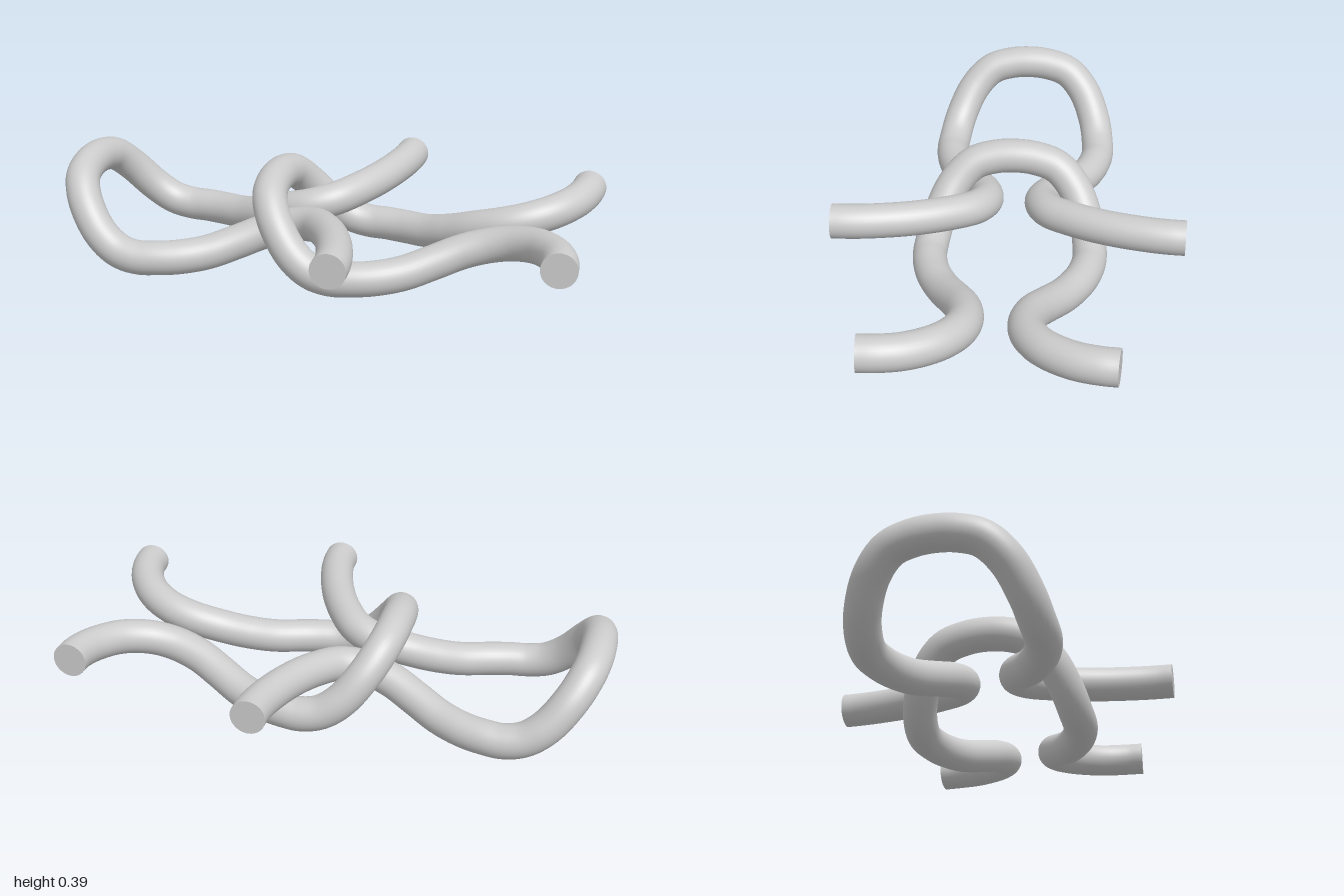
import * as THREE from 'three';

const RADIUS = 0.0645;
const PITCH = 0.745; // spacing between the two interlocked loops

// Half of a loop's centre line, from the middle of the raised head to the neck
const HEAD = [
  [-0.935, 0.333, 0], [-0.932, 0.326, 0.08], [-0.917, 0.302, 0.16], [-0.875, 0.236, 0.23],
  [-0.8, 0.142, 0.279], [-0.725, 0.088, 0.296], [-0.65, 0.07, 0.3], [-0.58, 0.071, 0.291],
  [-0.5, 0.074, 0.267], [-0.4, 0.086, 0.218], [-0.3, 0.118, 0.164], [-0.2, 0.156, 0.122], [-0.095, 0.187, 0.106],
];
// The flared leg after the neck: long on one loop, short on the other
const LONG_LEG = [[-0.01, 0.208, 0.14], [0.06, 0.224, 0.228], [0.125, 0.237, 0.36], [0.17, 0.247, 0.51], [0.183, 0.25, 0.59], [0.185, 0.25, 0.648]];
const SHORT_LEG = [[-0.005, 0.209, 0.123], [0.083, 0.228, 0.18], [0.15, 0.241, 0.275], [0.18, 0.249, 0.365], [0.186, 0.25, 0.432]];

function makeLoop(name, leg, offset, material) {
  const half = [...HEAD, ...leg].map(([x, y, z]) => new THREE.Vector3(x + offset, y, z));
  const mirrored = half.slice(1).reverse().map((p) => new THREE.Vector3(p.x, p.y, -p.z));
  const curve = new THREE.CatmullRomCurve3([...mirrored, ...half], false, 'centripetal');

  const loop = new THREE.Group();
  loop.name = name;
  const strand = new THREE.Mesh(new THREE.TubeGeometry(curve, 180, RADIUS, 32), material);
  strand.name = 'strand';
  loop.add(strand);

  // Flat caps facing outward at both cut ends
  for (const t of [0, 1]) {
    const cap = new THREE.Mesh(new THREE.CircleGeometry(RADIUS, 32), material);
    const outward = curve.getTangentAt(t).multiplyScalar(t ? 1 : -1);
    cap.position.copy(curve.getPointAt(t));
    cap.quaternion.setFromUnitVectors(new THREE.Vector3(0, 0, 1), outward);
    cap.name = t ? 'frontEndCap' : 'backEndCap';
    loop.add(cap);
  }
  return loop;
}

export function createModel() {
  const model = new THREE.Group();
  model.name = 'interlockedLoops';
  const material = new THREE.MeshStandardMaterial({ color: 0xcccccc });
  model.add(makeLoop('rightLoop', LONG_LEG, 0, material));
  model.add(makeLoop('leftLoop', SHORT_LEG, PITCH, material));
  return model;
}
